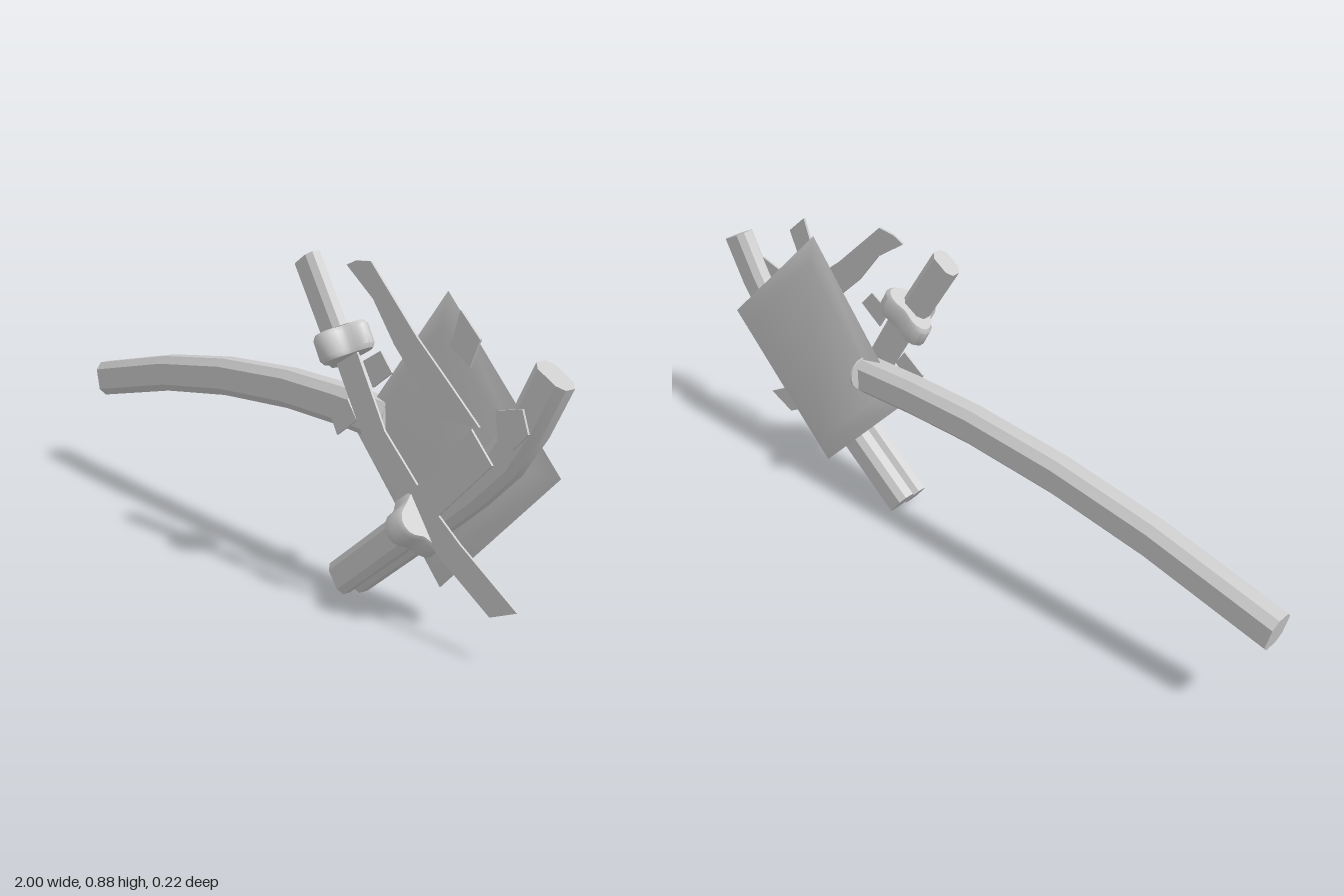
import * as THREE from 'three';
import { toCreasedNormals } from 'three/addons/utils/BufferGeometryUtils.js';

const material = new THREE.MeshStandardMaterial({ color: 0xcccccc, side: THREE.DoubleSide });

function addMesh(group, name, geometry) {
  const mesh = new THREE.Mesh(geometry, material);
  mesh.name = name;
  group.add(mesh);
}

// Closed solid through a list of equal-length rings of [x, y, z] points
function loft(rings, crease = 0.5) {
  const n = rings[0].length, index = [];
  for (let i = 0; i < rings.length - 1; i++) {
    for (let k = 0; k < n; k++) {
      const a = i * n + k, b = i * n + (k + 1) % n;
      index.push(a, b, a + n, b, b + n, a + n);
    }
  }
  const last = (rings.length - 1) * n;
  for (let k = 1; k < n - 1; k++) {
    index.push(0, k + 1, k, last, last + k, last + k + 1);
  }
  const geometry = new THREE.BufferGeometry();
  geometry.setAttribute('position', new THREE.Float32BufferAttribute(rings.flat(2), 3));
  geometry.setIndex(index);
  return toCreasedNormals(geometry, crease);
}

// Cross-section ring of [across, depth] pairs, square to a direction in the x-y plane
function ringAt(x, y, z, dx, dy, section) {
  const l = Math.hypot(dx, dy);
  return section.map(([a, b]) => [x - dy / l * a, y + dx / l * a, z + b]);
}

// Eight-sided bar following points in the x-y plane
function bar(points, z, w, d) {
  const section = [[1, -0.5], [1, 0.5], [0.6, 1], [-0.6, 1], [-1, 0.5], [-1, -0.5], [-0.6, -1], [0.6, -1]]
    .map(([a, b]) => [a * w, b * d]);
  return loft(points.map(([x, y], i) => {
    const p = points[Math.max(i - 1, 0)], q = points[Math.min(i + 1, points.length - 1)];
    return ringAt(x, y, z, q[0] - p[0], q[1] - p[1], section);
  }));
}

// Three-lobed guard around a grip
function guard(x, y, dx, dy) {
  const rings = [[-0.037, 0.9], [-0.026, 1], [0.026, 1], [0.037, 0.9]].map(([t, s]) => {
    const section = [];
    for (let k = 0; k < 30; k++) {
      const a = k / 30 * Math.PI * 2;
      const r = (0.067 + 0.016 * Math.cos(3 * (a - Math.PI / 2))) * s;
      section.push([r * 1.12 * Math.cos(a), r * 0.85 * Math.sin(a)]);
    }
    return ringAt(x + dx * t, y + dy * t, 0.037, dx, dy, section);
  });
  return loft(rings, 0.7);
}

// Thin flat piece of metal
function sheet(points) {
  const shape = new THREE.Shape(points.map(([x, y]) => new THREE.Vector2(x, y)));
  return new THREE.ExtrudeGeometry(shape, { depth: 0.006, bevelEnabled: false }).translate(0, 0, 0.035);
}

export function createModel() {
  const group = new THREE.Group();

  // Long curved handle behind the plate
  addMesh(group, 'longHandle', bar(
    [[-0.988, 0.312], [-0.615, 0.4], [-0.315, 0.447], [-0.02, 0.47], [0.2, 0.47], [0.385, 0.462]], -0.047, 0.053, 0.038));

  // Small rounded tab at the end of the handle
  const tab = new THREE.CylinderGeometry(0.048, 0.048, 0.006, 16).rotateZ(Math.PI / 2).translate(0.386, 0.472, -0.062);
  addMesh(group, 'handleTab', tab);

  // Square plate with sharp edges
  const corners = [[0.58, 0.08], [0.955, 0.455], [0.58, 0.825], [0.25, 0.415]];
  const plateRing = (s, z) => corners.map(([x, y]) => [0.58 + (x - 0.58) * s, 0.452 + (y - 0.452) * s, z]);
  addMesh(group, 'plate', loft([plateRing(0.79, -0.065), plateRing(1, -0.045), plateRing(0.79, -0.025)], 0.8));

  // Bent bar across the front of the plate
  addMesh(group, 'bentBar', bar(
    [[0.3, 0.037], [0.57, 0.255], [0.72, 0.38], [0.82, 0.475], [0.89, 0.575], [0.955, 0.697]], -0.011, 0.05, 0.029));

  // Two broken swords: grip and guard
  addMesh(group, 'upperGrip', bar([[0.155, 0.857], [0.3, 0.635]], 0.04, 0.041, 0.024));
  addMesh(group, 'upperGuard', guard(0.29, 0.655, 0.5, -0.866));
  addMesh(group, 'lowerGrip', bar([[0.296, 0.038], [0.58, 0.268]], 0.04, 0.044, 0.024));
  addMesh(group, 'lowerGuard', guard(0.57, 0.262, 0.8, 0.6));

  // Blades and broken pieces
  const pieces = {
    longBlade: [[0.26, 0.63], [0.34, 0.67], [0.46, 0.47], [0.6, 0.345], [0.73, 0.255], [0.92, 0.145],
      [0.835, 0.107], [0.67, 0.2], [0.52, 0.3], [0.39, 0.42]],
    shortBlade: [[0.54, 0.32], [0.755, 0.54], [0.825, 0.47], [0.62, 0.27]],
    bladeTip: [[0.31, 0.86], [0.345, 0.875], [0.4, 0.88], [0.57, 0.72], [0.67, 0.64], [0.78, 0.55],
      [0.65, 0.54], [0.49, 0.69], [0.41, 0.79]],
    upperShard: [[0.71, 0.81], [0.775, 0.752], [0.745, 0.683], [0.68, 0.72]],
    sideShard: [[0.83, 0.6], [0.91, 0.62], [0.93, 0.566], [0.885, 0.52], [0.84, 0.535]],
    leftShard: [[0.248, 0.475], [0.318, 0.523], [0.355, 0.475], [0.28, 0.42]],
    middleShard: [[0.376, 0.63], [0.44, 0.667], [0.483, 0.62], [0.414, 0.57]],
  };
  for (const [name, points] of Object.entries(pieces)) addMesh(group, name, sheet(points));

  return group;
}
